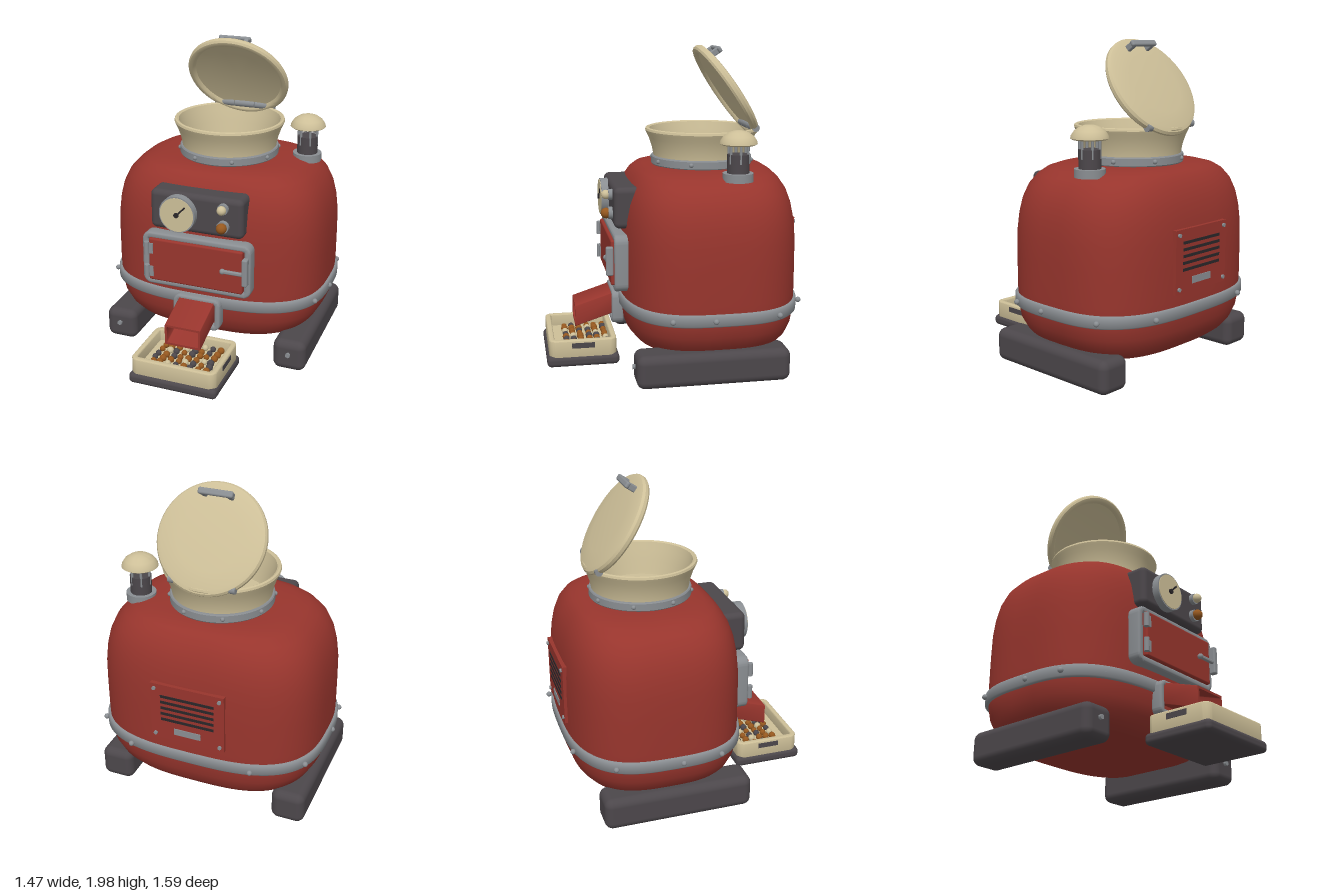
import * as THREE from 'three';
import { toCreasedNormals } from 'three/addons/utils/BufferGeometryUtils.js';
import { RoundedBoxGeometry } from 'three/addons/geometries/RoundedBoxGeometry.js';

const mat = (name, color) => Object.assign(new THREE.MeshStandardMaterial({ color }), { name });
const RED = mat('red enamel', 0x98352d);
const CREAM = mat('cream enamel', 0xcdbf98);
const STEEL = mat('grey steel', 0x8a8e92);
const DARK = mat('dark iron', 0x4c474b);
const BROWN = mat('amber brown', 0x96581f);
const BLACK = mat('black', 0x2a2629);
const CZ = -0.225; // centre of the body in z

// Point on the rounded-rectangle plan with half sizes a and b
function plan(a, b, t) {
  const p = v => Math.sign(v) * Math.abs(v) ** (2 / 3);
  return [a * p(Math.cos(t)), CZ + b * p(Math.sin(t))];
}

// Skin through plan loops; rows are [y, half width, half depth] from bottom to top
function loft(rows, n = 96) {
  const pos = [], idx = [];
  rows.forEach(([y, a, b]) => {
    for (let j = 0; j < n; j++) {
      const [x, z] = plan(a, b, (j / n) * Math.PI * 2);
      pos.push(x, y, z);
    }
  });
  for (let i = 0; i < rows.length - 1; i++)
    for (let j = 0; j < n; j++) {
      const a = i * n + j, b = i * n + (j + 1) % n;
      idx.push(a, a + n, b, b, a + n, b + n);
    }
  const g = new THREE.BufferGeometry();
  g.setAttribute('position', new THREE.Float32BufferAttribute(pos, 3));
  g.setIndex(idx);
  g.computeVertexNormals();
  return g;
}

function roundRect(w, h, r, C = THREE.Shape) {
  const s = new C(), x = w / 2, y = h / 2, q = Math.PI / 2;
  s.absarc(x - r, y - r, r, 0, q);
  s.absarc(-x + r, y - r, r, q, 2 * q);
  s.absarc(-x + r, -y + r, r, 2 * q, 3 * q);
  s.absarc(x - r, -y + r, r, 3 * q, 4 * q);
  s.closePath();
  return s;
}

// Rounded rectangular ring, w by h outside, with border t and depth d along z
function frame(w, h, t, d, r, bevel) {
  const s = roundRect(w - 2 * bevel, h - 2 * bevel, r);
  s.holes.push(roundRect(w - 2 * t + 2 * bevel, h - 2 * t + 2 * bevel, Math.max(r - t / 2, 0.006), THREE.Path));
  const g = new THREE.ExtrudeGeometry(s, {
    depth: d - 2 * bevel, bevelEnabled: bevel > 0, bevelSize: bevel,
    bevelThickness: bevel, bevelSegments: 3, curveSegments: 6,
  });
  return toCreasedNormals(g.translate(0, 0, bevel), 0.7);
}

const lathe = (pts, n = 64) => toCreasedNormals(
  new THREE.LatheGeometry(pts.map(p => new THREE.Vector2(...p)), n), 0.6);
const cyl = (r, h, n = 32) => new THREE.CylinderGeometry(r, r, h, n);
const cylZ = (r, h, n = 32) => cyl(r, h, n).rotateX(Math.PI / 2);
const box = (w, h, d, r) => r ? new RoundedBoxGeometry(w, h, d, 4, r) : new THREE.BoxGeometry(w, h, d);
const ball = (r, n = 16) => new THREE.SphereGeometry(r, n, n * 0.6 | 0);

export function createModel() {
  const root = new THREE.Group();
  const add = (name, geo, m, x = 0, y = 0, z = 0, parent = root) => {
    const mesh = new THREE.Mesh(geo, m);
    mesh.name = name;
    mesh.position.set(x, y, z);
    parent.add(mesh);
    return mesh;
  };
  const group = name => {
    const g = new THREE.Group();
    g.name = name;
    root.add(g);
    return g;
  };

  // Body shell
  add('body', loft([
    [0.14, 0, 0], [0.14, 0.3, 0.22], [0.14, 0.5, 0.38], [0.15, 0.55, 0.425], [0.18, 0.6, 0.465], [0.23, 0.645, 0.505],
    [0.3, 0.685, 0.53], [0.38, 0.7, 0.542], [0.5, 0.705, 0.545], [0.7, 0.705, 0.545], [0.84, 0.703, 0.542],
    [0.95, 0.69, 0.532], [1.04, 0.668, 0.515], [1.12, 0.63, 0.487], [1.18, 0.575, 0.447], [1.215, 0.51, 0.41],
    [1.235, 0.43, 0.36], [1.242, 0.33, 0.28], [1.243, 0, 0],
  ]), RED);

  // Band with rivets
  const band = group('band');
  add('bandStrip', toCreasedNormals(loft([
    [0.38, 0.69, 0.53], [0.38, 0.714, 0.552], [0.388, 0.721, 0.559],
    [0.447, 0.721, 0.559], [0.455, 0.714, 0.552], [0.455, 0.69, 0.53],
  ]), 0.9), STEEL, 0, 0, 0, band);
  for (const s of [1, -1])
    for (const [x, z] of [[0.5, 0.245], [0.69, 0.08], [0.72, -0.17], [0.67, -0.57], [0.39, -0.77]])
      add('bandRivet', ball(0.017), STEEL, s * x, 0.416, z, band);

  // Skid feet with end bolts
  for (const s of [1, -1]) {
    add('foot', box(0.212, 0.205, 0.935, 0.05), DARK, s * 0.583, 0.1025, -0.178);
    add('footBolt', cylZ(0.016, 0.02, 6), STEEL, s * 0.585, 0.12, 0.296);
  }

  // Hopper collar
  const hopper = group('hopper');
  hopper.position.z = CZ;
  add('hopperBowl', lathe([
    [0.3, 1.23], [0.305, 1.3], [0.315, 1.35], [0.335, 1.41], [0.35, 1.44], [0.356, 1.455], [0.352, 1.468],
    [0.34, 1.472], [0.328, 1.465], [0.315, 1.42], [0.295, 1.35], [0.28, 1.28], [0.275, 1.262], [0, 1.26],
  ]), CREAM, 0, 0, 0, hopper);
  add('hopperRing', lathe([[0.295, 1.24], [0.315, 1.24], [0.32, 1.247], [0.32, 1.29], [0.315, 1.297], [0.295, 1.297]]), STEEL, 0, 0, 0, hopper);
  for (let i = 0; i < 8; i++) {
    const t = (i + 0.5) * Math.PI / 4;
    add('ringRivet', ball(0.014), STEEL, 0.32 * Math.sin(t), 1.27, 0.32 * Math.cos(t), hopper);
  }

  // Open lid, its handle and hinge
  const lid = group('lid');
  lid.position.set(0, 1.7, -0.383);
  lid.rotation.x = -0.979;
  add('lidDisc', lathe([
    [0, 0.008], [0.2, 0.004], [0.285, -0.008], [0.298, -0.026], [0.308, -0.03], [0.326, -0.026], [0.335, -0.014],
    [0.335, 0.006], [0.325, 0.02], [0.3, 0.028], [0.2, 0.036], [0, 0.04],
  ]), CREAM, 0, 0, 0, lid);
  add('lidHandle', box(0.215, 0.026, 0.04, 0.012), STEEL, 0, 0.088, 0.25, lid);
  for (const s of [1, -1]) add('handlePost', box(0.03, 0.06, 0.04, 0.008), STEEL, s * 0.082, 0.055, 0.25, lid);
  for (const i of [-1, 0, 1])
    add('lidHinge', cyl(0.024, 0.136, 20).rotateZ(Math.PI / 2), STEEL, i * 0.14, 1.478, -0.528);

  // Chimney
  const chimney = group('chimney');
  chimney.position.set(0.49, 0, -0.345);
  add('flange', cyl(0.092, 0.05), STEEL, 0, 1.228, 0, chimney);
  add('pipe', cyl(0.066, 0.13), DARK, 0, 1.3, 0, chimney);
  for (let i = 0; i < 6; i++) {
    const t = i * Math.PI / 3;
    add('capPost', cyl(0.008, 0.13, 8), STEEL, 0.06 * Math.cos(t), 1.375, 0.06 * Math.sin(t), chimney);
  }
  add('cap', lathe([[0, 1.422], [0.1, 1.42], [0.112, 1.428], [0.108, 1.445], [0.09, 1.472], [0.06, 1.493], [0.03, 1.503], [0, 1.506]], 40), CREAM, 0, 0, 0, chimney);

  // Control panel
  const panel = group('controlPanel');
  add('panelBox', box(0.605, 0.255, 0.17, 0.035), DARK, -0.002, 1.018, 0.285, panel);
  add('gaugeBezel', cylZ(0.117, 0.05, 48), STEEL, -0.107, 1.02, 0.39, panel);
  add('gaugeFace', cylZ(0.109, 0.006, 48), CREAM, -0.107, 1.02, 0.416, panel);
  add('needle', box(0.085, 0.01, 0.006), BLACK, -0.08, 1.047, 0.421, panel).rotation.z = Math.PI / 4;
  add('needleHub', cylZ(0.016, 0.014, 16), BLACK, -0.107, 1.02, 0.422, panel);
  for (const [m, y, r] of [[CREAM, 1.087, 0.029], [BROWN, 0.971, 0.033]]) {
    add('knobCollar', cylZ(r + 0.005, 0.03, 24), STEEL, 0.18, y, 0.38, panel);
    add('knob', ball(r, 24), m, 0.18, y, 0.408, panel);
  }

  // Firebox door
  const door = group('door');
  add('doorFrame', frame(0.715, 0.355, 0.042, 0.09, 0.04, 0.013), STEEL, -0.002, 0.683, 0.288, door);
  add('doorPanel', box(0.62, 0.285, 0.11, 0.012), RED, 0, 0.685, 0.342, door);
  for (const y of [0.605, 0.762]) {
    add('doorHinge', cyl(0.017, 0.085, 16), STEEL, -0.32, y, 0.402, door);
    add('hingeLeaf', box(0.04, 0.07, 0.01), STEEL, -0.298, y, 0.398, door);
  }
  add('latchPlate', box(0.036, 0.18, 0.045, 0.01), STEEL, 0.333, 0.705, 0.407, door);
  add('latchLever', box(0.15, 0.024, 0.022, 0.008), STEEL, 0.26, 0.69, 0.413, door);
  add('latchKnob', ball(0.018), STEEL, 0.188, 0.69, 0.413, door);

  // Sloping chute
  const chute = group('chute');
  add('chuteFrame', frame(0.315, 0.215, 0.036, 0.075, 0.035, 0.012), STEEL, -0.002, 0.347, 0.3, chute);
  add('chuteBack', box(0.26, 0.16, 0.03), RED, 0, 0.347, 0.315, chute);
  const duct = frame(0.235, 0.135, 0.014, 0.27, 0.005, 0);
  const p = duct.attributes.position;
  for (let i = 0; i < p.count; i++) p.setY(i, p.getY(i) - 0.32 * p.getZ(i));
  add('chuteDuct', toCreasedNormals(duct, 0.6), RED, 0, 0.382, 0.335, chute);

  // Catch tray with pellets
  const tray = group('tray');
  tray.position.z = 0.57;
  add('trayBase', box(0.575, 0.07, 0.45, 0.028), DARK, 0, 0.056, 0, tray);
  add('trayWall', frame(0.555, 0.42, 0.035, 0.12, 0.04, 0.008).rotateX(-Math.PI / 2), CREAM, 0, 0.072, 0, tray);
  add('trayFloor', box(0.51, 0.03, 0.37), CREAM, 0, 0.1, 0, tray);
  for (const s of [1, -1]) add('trayGrip', box(0.006, 0.034, 0.14), DARK, s * 0.277, 0.157, 0, tray);
  const mix = [BROWN, BROWN, DARK, BROWN, CREAM, DARK, BROWN];
  for (let i = 0; i < 8; i++)
    for (let j = 0; j < 6; j++) {
      const k = i * 5 + j * 3;
      add('pellet', ball(0.019 + (k % 3) * 0.002, 10), mix[k % 7],
        -0.177 + i * 0.0505 + (k % 4 - 1.5) * 0.003, 0.13, -0.155 + j * 0.05 + (k % 5 - 2) * 0.002, tray);
    }

  // Rear vent plate
  const vent = group('rearVent');
  add('ventPlate', box(0.47, 0.38, 0.05), RED, 0, 0.72, -0.757, vent);
  for (let i = 0; i < 5; i++) add('ventSlot', box(0.34, 0.017, 0.008), BLACK, 0, 0.83 - i * 0.04, -0.782, vent);
  add('ventLabel', box(0.17, 0.042, 0.008), STEEL, 0, 0.597, -0.783, vent);
  for (const x of [-0.208, 0.208])
    for (const y of [0.56, 0.88]) add('ventScrew', cylZ(0.012, 0.014, 12), STEEL, x, y, -0.786, vent);

  return root;
}
